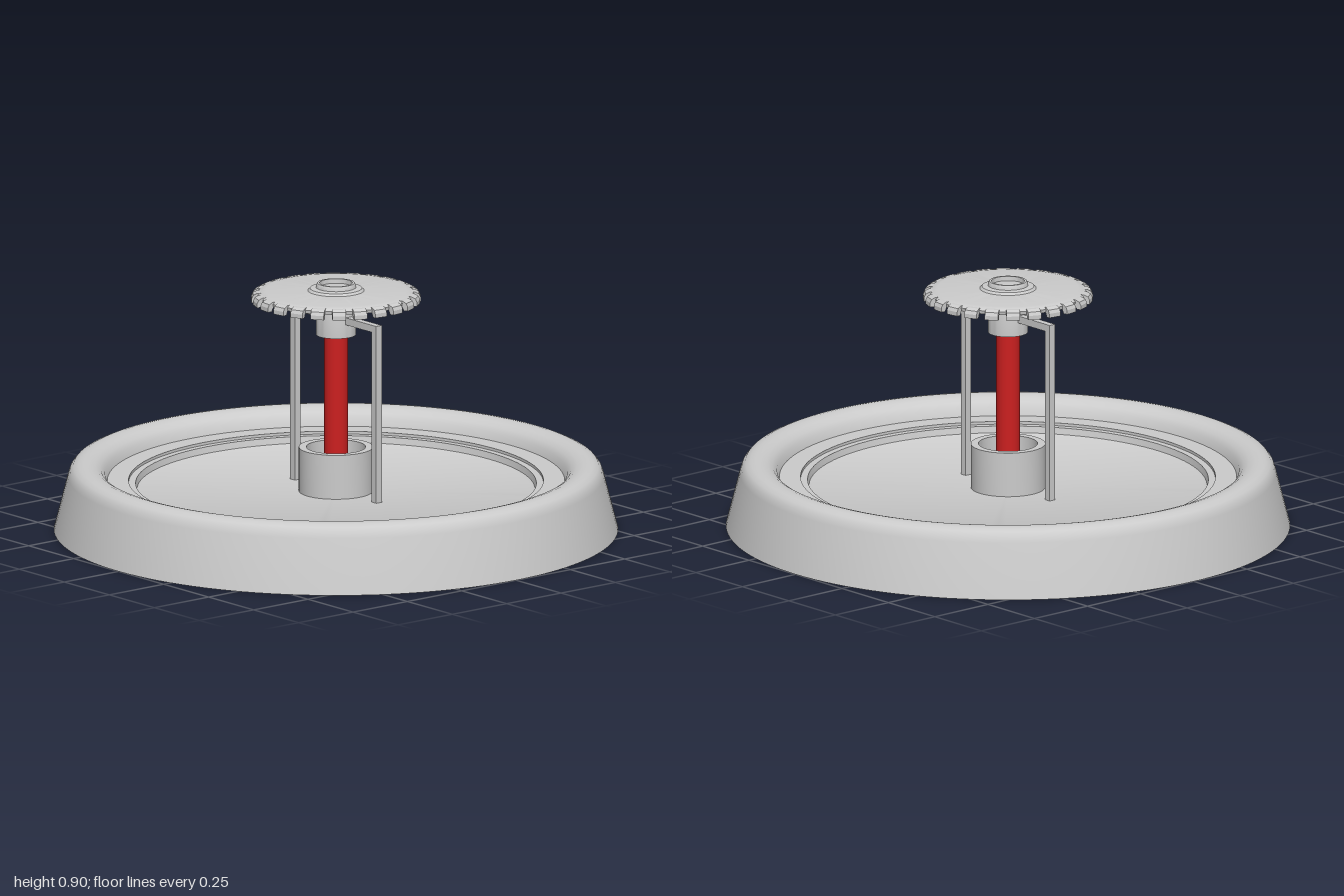
import * as THREE from 'three';
import { toCreasedNormals } from 'three/addons/utils/BufferGeometryUtils.js';

const grey = new THREE.MeshStandardMaterial({ color: 0xcccccc });
const red = new THREE.MeshStandardMaterial({ color: 0xcc2020 });

function part(name, geometry, material = grey) {
  const mesh = new THREE.Mesh(geometry, material);
  mesh.name = name;
  return mesh;
}

// Turned solid; profile of [radius, height] runs up the outside, then inwards
function turned(name, profile, segments = 64) {
  const points = profile.map(([r, y]) => new THREE.Vector2(r, y));
  return part(name, toCreasedNormals(new THREE.LatheGeometry(points, segments), 0.6));
}

function bar(name, w, h, d, x, y) {
  const mesh = part(name, new THREE.BoxGeometry(w, h, d));
  mesh.position.set(x, y, 0);
  return mesh;
}

export function createModel() {
  const model = new THREE.Group();
  model.name = 'sprinkler';

  // Wide cover plate: sloped side, rolled rim, stepped recess
  model.add(turned('coverPlate', [
    [0, 0], [1, 0], [0.95, 0.195], [0.943, 0.215], [0.93, 0.231], [0.912, 0.239], [0.895, 0.242],
    [0.875, 0.241], [0.853, 0.235], [0.834, 0.223], [0.819, 0.205], [0.81, 0.178],
    [0.735, 0.178], [0.735, 0.168], [0.71, 0.168], [0.705, 0.145], [0.695, 0.14], [0, 0.14],
  ], 128));

  // Open collar around the foot of the bulb
  model.add(turned('collar', [
    [0, 0.14], [0.132, 0.14], [0.132, 0.3], [0.105, 0.3], [0.105, 0.24], [0, 0.24],
  ]));

  // Red glass bulb
  const bulb = part('bulb', new THREE.CylinderGeometry(0.042, 0.042, 0.5, 32), red);
  bulb.position.y = 0.48;
  model.add(bulb);

  // Hub holding the bulb, open at the top
  model.add(turned('hub', [
    [0, 0.71], [0.071, 0.71], [0.071, 0.89], [0.066, 0.898], [0.058, 0.898], [0.056, 0.875], [0, 0.875],
  ], 48));

  // Frame: two legs and a crossbar
  for (const side of [-1, 1]) {
    model.add(bar(side > 0 ? 'leftLeg' : 'rightLeg', 0.026, 0.645, 0.026, side * 0.226, 0.4625));
  }
  model.add(bar('crossbar', 0.426, 0.026, 0.026, 0, 0.772));

  // Deflector disc with a raised ring about the hub
  const deflector = new THREE.Group();
  deflector.name = 'deflector';
  deflector.add(turned('disc', [
    [0, 0.856], [0.25, 0.856], [0.278, 0.848], [0.28, 0.86], [0.272, 0.867], [0.25, 0.871],
    [0.1, 0.871], [0.092, 0.879], [0.075, 0.882], [0, 0.882],
  ], 96));

  // Bent-down teeth around the rim
  const profile = [[0.262, 0.868], [0.262, 0.856], [0.276, 0.85], [0.284, 0.833],
    [0.3, 0.833], [0.3, 0.848], [0.294, 0.86], [0.28, 0.867]];
  const shape = new THREE.Shape(profile.map(([r, y]) => new THREE.Vector2(r, y)));
  const width = 0.048;
  const toothGeometry = new THREE.ExtrudeGeometry(shape, { depth: width, bevelEnabled: false });
  toothGeometry.translate(0, 0, -width / 2);
  const count = 24;
  for (let i = 0; i < count; i++) {
    const tooth = part('tooth', toothGeometry);
    tooth.rotation.y = ((i + 0.5) / count) * Math.PI * 2;
    deflector.add(tooth);
  }
  model.add(deflector);

  return model;
}
